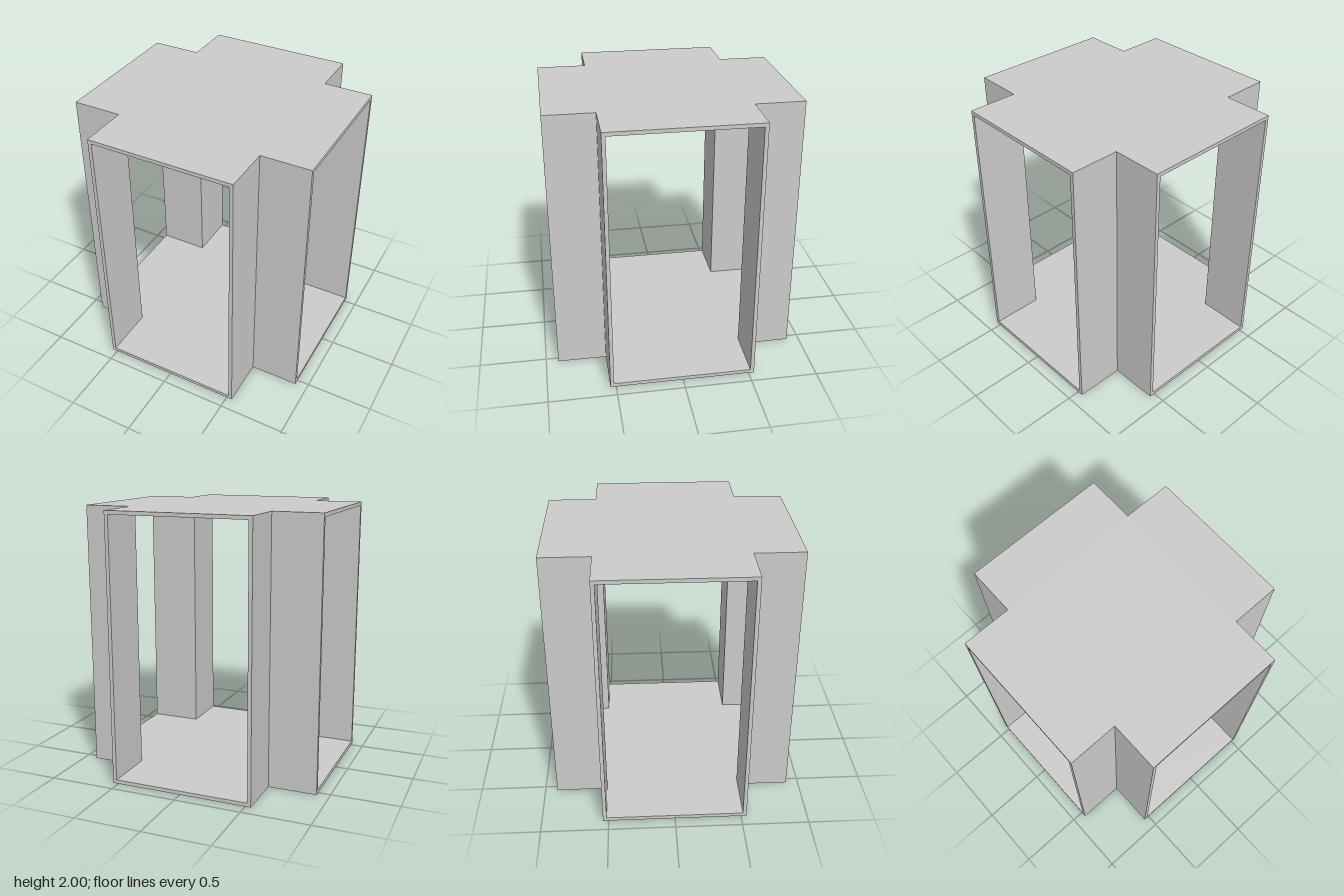
import * as THREE from 'three';

const R = 0.907;  // half length of each arm of the cross
const W = 0.542;  // half width of each arm
const T = 0.028;  // panel thickness
const H = 2;      // overall height

// Extrude a plan outline upwards by the given height
function slab(points, height) {
  const shape = new THREE.Shape(points.map(([x, y]) => new THREE.Vector2(x, y)));
  const geometry = new THREE.ExtrudeGeometry(shape, { depth: height, bevelEnabled: false });
  return geometry.rotateX(-Math.PI / 2);
}

export function createModel() {
  const model = new THREE.Group();
  model.name = 'crossShapedFrame';
  const material = new THREE.MeshStandardMaterial({ color: 0xcccccc, flatShading: true });

  const add = (name, geometry, y) => {
    const mesh = new THREE.Mesh(geometry, material);
    mesh.name = name;
    mesh.position.y = y;
    model.add(mesh);
    return mesh;
  };

  // Cross-shaped floor and roof panels
  const cross = [
    [W, -R], [W, -W], [R, -W], [R, W], [W, W], [W, R],
    [-W, R], [-W, W], [-R, W], [-R, -W], [-W, -W], [-W, -R],
  ];
  const panel = slab(cross, T);
  add('floor', panel, 0);
  add('roof', panel, H - T);

  // L-shaped walls folded into the four notches; the arm ends stay open
  const I = W - T;
  const angle = [[I, I], [R, I], [R, W], [W, W], [W, R], [I, R]];
  const wall = slab(angle, H - 2 * T);
  ['backLeft', 'backRight', 'frontRight', 'frontLeft'].forEach((corner, i) => {
    add(corner + 'Wall', wall, T).rotation.y = i * Math.PI / 2;
  });

  return model;
}
